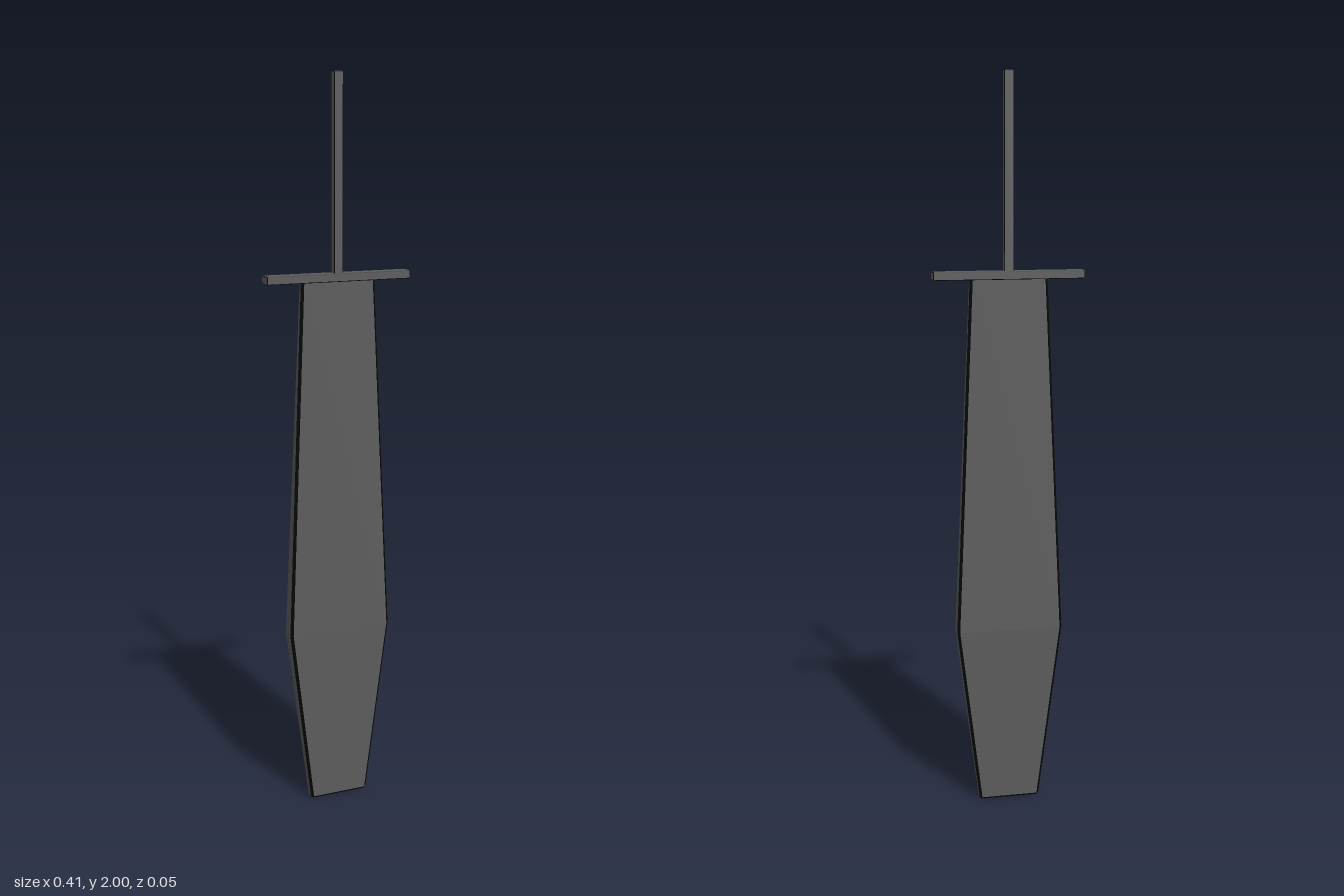
import * as THREE from 'three';

const steel = new THREE.MeshStandardMaterial({ color: 0x5c5c5c });
const edge = new THREE.MeshStandardMaterial({ color: 0x080808 });

// Eight-sided section: a rectangle of half width w and half depth d with corners cut by c.
function ring(y, w, d, c, cut = c) {
  const a = w - c, b = d - c;
  const outW = a + cut, outD = b + cut;
  return [[outW, b], [a, outD], [-a, outD], [-outW, b], [-outW, -b], [-a, -outD], [a, -outD], [outW, -b]]
    .map(([x, z]) => new THREE.Vector3(x, y, z));
}

function facetMesh(name, triangles, material) {
  const geometry = new THREE.BufferGeometry().setFromPoints(triangles);
  geometry.computeVertexNormals();
  const mesh = new THREE.Mesh(geometry, material);
  mesh.name = name;
  return mesh;
}

// Bevelled bar lofted upwards through levels [y, halfWidth, halfDepth]; bevels are dark.
function bevelledBar(name, levels, c) {
  const faces = [], bevels = [];
  const triangle = new THREE.Triangle();
  const add = (list, p, q, r) => {
    if (triangle.set(p, q, r).getArea() > 1e-10) list.push(p, q, r);
  };
  const n = levels.length - 1;
  const rings = levels.map(([y, w, d], i) => ring(y + (i === 0 ? c : i === n ? -c : 0), w, d, c));
  const [y0, w0, d0] = levels[0], [y1, w1, d1] = levels[n];
  rings.unshift(ring(y0, w0, d0, c, 0));
  rings.push(ring(y1, w1, d1, c, 0));

  for (let i = 0; i < rings.length - 1; i++) {
    const lo = rings[i], hi = rings[i + 1];
    const isEnd = i === 0 || i === rings.length - 2;
    for (let k = 0; k < 8; k++) {
      const m = (k + 1) % 8;
      const list = isEnd || k % 2 === 0 ? bevels : faces;
      add(list, lo[k], hi[k], hi[m]);
      add(list, lo[k], hi[m], lo[m]);
    }
  }
  // End caps
  const bottom = rings[0], top = rings[rings.length - 1];
  for (let k = 1; k < 7; k++) {
    add(faces, bottom[0], bottom[k], bottom[k + 1]);
    add(faces, top[0], top[k + 1], top[k]);
  }

  // Section corners run clockwise seen from above, so reverse every triangle outward.
  for (const list of [faces, bevels]) {
    for (let i = 0; i < list.length; i += 3) [list[i + 1], list[i + 2]] = [list[i + 2], list[i + 1]];
  }
  const group = new THREE.Group();
  group.name = name;
  group.add(facetMesh(name + 'Faces', faces, steel), facetMesh(name + 'Bevels', bevels, edge));
  return orientOutward(group, levels);
}

// Make every triangle face away from the bar's centre line.
function orientOutward(group, levels) {
  const yMid = (levels[0][0] + levels[levels.length - 1][0]) / 2;
  const p = [0, 1, 2].map(() => new THREE.Vector3());
  const normal = new THREE.Vector3(), centre = new THREE.Vector3(0, yMid, 0);
  for (const { geometry } of group.children) {
    const pos = geometry.attributes.position;
    for (let i = 0; i < pos.count; i += 3) {
      p.forEach((v, k) => v.fromBufferAttribute(pos, i + k));
      THREE.Triangle.getNormal(p[0], p[1], p[2], normal);
      if (normal.dot(p[0].clone().sub(centre)) < 0) {
        pos.setXYZ(i + 1, p[2].x, p[2].y, p[2].z);
        pos.setXYZ(i + 2, p[1].x, p[1].y, p[1].z);
      }
    }
    geometry.computeVertexNormals();
  }
  return group;
}

export function createModel() {
  const model = new THREE.Group();
  model.name = 'sword';
  model.add(
    // Broad blunt blade, widest and thickest a quarter of the way up
    bevelledBar('blade', [[0, 0.085, 0.015], [0.5, 0.147, 0.024], [1.47, 0.105, 0.011]], 0.007),
    // Flat crossguard
    bevelledBar('crossguard', [[1.464, 0.204, 0.019], [1.486, 0.204, 0.019]], 0.002),
    // Thin square grip
    bevelledBar('grip', [[1.48, 0.013, 0.01], [2, 0.013, 0.01]], 0.002),
  );
  return model;
}
